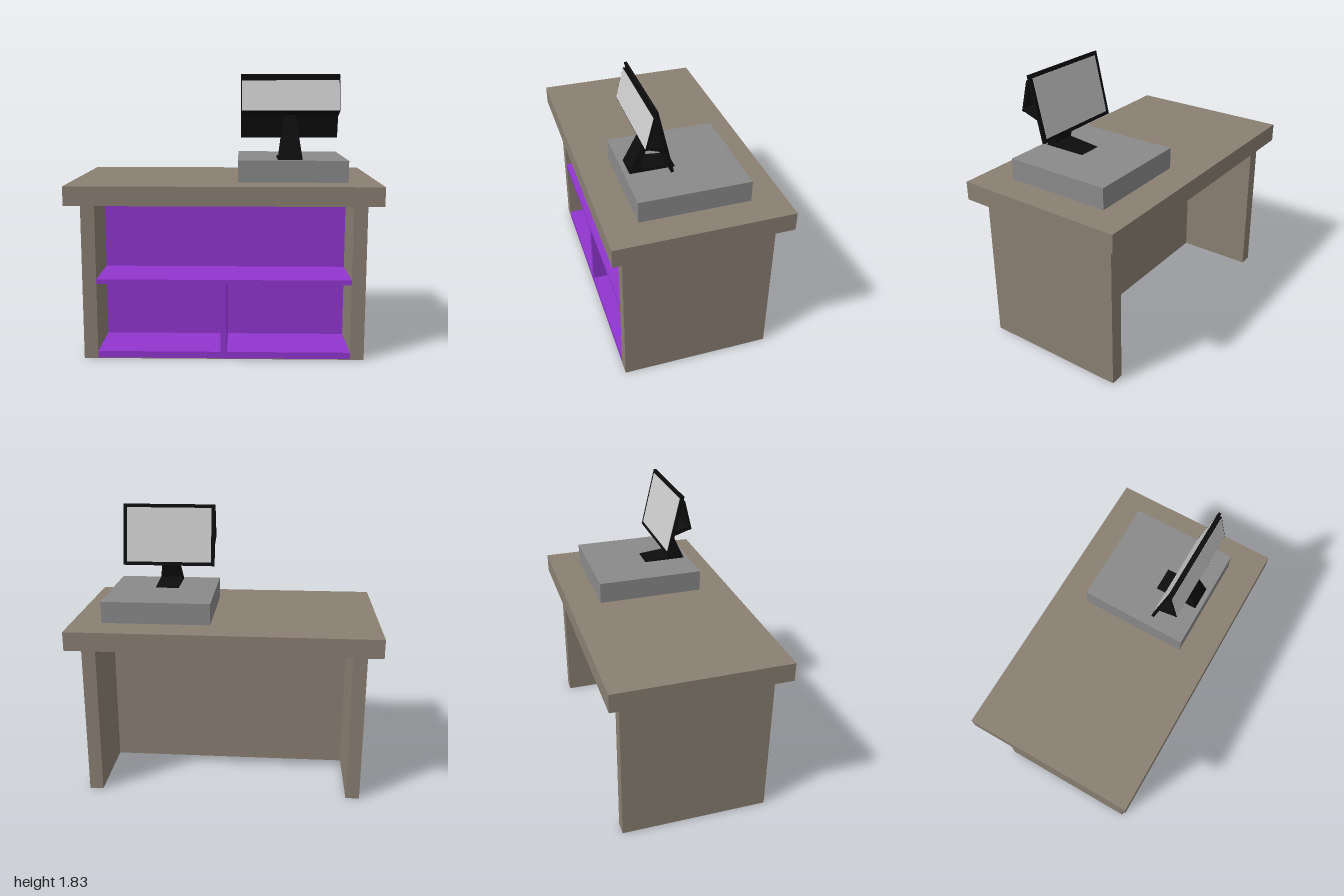
import * as THREE from 'three';

const mat = (color) => new THREE.MeshStandardMaterial({ color });

export function createModel() {
  const group = new THREE.Group();
  const wood = mat(0x8a7f72);
  const purple = mat(0x9035cf);
  const grey = mat(0x8a8a8a);
  const black = mat(0x0d0d0d);
  const glass = mat(0xc0c0c0);

  const add = (name, geometry, material, parent = group) => {
    const mesh = new THREE.Mesh(geometry, material);
    mesh.name = name;
    parent.add(mesh);
    return mesh;
  };

  // Axis-aligned box given by its extents
  const block = (name, material, [x0, x1], [y0, y1], [z0, z1]) => {
    const mesh = add(name, new THREE.BoxGeometry(x1 - x0, y1 - y0, z1 - z0), material);
    mesh.position.set((x0 + x1) / 2, (y0 + y1) / 2, (z0 + z1) / 2);
    return mesh;
  };

  // Tilted panel running between two [z, y] points
  const slab = (name, x, width, [z0, y0], [z1, y1], thickness) => {
    const panel = new THREE.Group();
    panel.name = name;
    const length = Math.hypot(z1 - z0, y1 - y0);
    add(name + 'Case', new THREE.BoxGeometry(width, length, thickness), black, panel);
    panel.position.set(x, (y0 + y1) / 2, (z0 + z1) / 2);
    panel.rotation.x = Math.atan2(z1 - z0, y1 - y0);
    group.add(panel);
    return panel;
  };

  // Counter body
  block('counterTop', wood, [-1, 1], [1.02, 1.143], [-0.57, 0.57]);
  for (const s of [-1, 1]) {
    const side = block(s > 0 ? 'leftSide' : 'rightSide', wood, [0.82, 0.91], [0, 1.02], [-0.49, 0.49]);
    side.position.x *= s;
  }
  block('backPanel', wood, [-0.82, 0.82], [0, 1.02], [0.04, 0.115]);

  // Open shelving at the front
  block('shelfBacking', purple, [-0.82, 0.82], [0.04, 1.02], [0.115, 0.12]);
  block('underside', wood, [-0.82, 0.82], [0, 0.004], [0.115, 0.49]);
  block('bottomShelf', purple, [-0.82, 0.82], [0.004, 0.048], [0.115, 0.49]);
  block('middleShelf', purple, [-0.82, 0.82], [0.5, 0.53], [0.12, 0.49]);
  block('divider', purple, [-0.02, 0.02], [0.048, 0.5], [0.12, 0.49]);

  // Cash drawer
  block('cashDrawer', grey, [0.09, 0.802], [1.143, 1.285], [-0.357, 0.357]);

  // Stand: side profile in [z, y], narrowing towards the top
  const cx = 0.428;
  const profile = [[0.325, 1.283], [0.19, 1.585], [0.16, 1.57], [0.255, 1.312], [0.035, 1.287], [0.035, 1.283]];
  const shape = new THREE.Shape(profile.map(([z, y]) => new THREE.Vector2(z, y)));
  const stand = new THREE.ExtrudeGeometry(shape, { depth: 1, bevelEnabled: false });
  stand.translate(0, 0, -0.5).rotateY(-Math.PI / 2);
  const pos = stand.attributes.position;
  for (let i = 0; i < pos.count; i++) {
    const t = THREE.MathUtils.clamp((pos.getY(i) - 1.283) / 0.3, 0, 1);
    pos.setX(i, pos.getX(i) * THREE.MathUtils.lerp(0.16, 0.075, t));
  }
  stand.computeVertexNormals();
  add('stand', stand, black).position.x = cx;

  // Operator screen, facing the back
  const main = slab('operatorScreen', cx, 0.64, [0.132, 1.42], [0.228, 1.832], 0.018);
  add('operatorGlass', new THREE.BoxGeometry(0.59, 0.375, 0.004), glass, main).position.z = -0.009;

  // Customer screen, facing the front, and the bracket beneath it
  const customer = slab('customerScreen', cx, 0.64, [0.285, 1.596], [0.235, 1.796], 0.016);
  add('customerGlass', new THREE.BoxGeometry(0.63, 0.198, 0.003), glass, customer).position.z = 0.008;
  slab('bracket', cx, 0.64, [0.175, 1.575], [0.285, 1.612], 0.024);

  return group;
}
